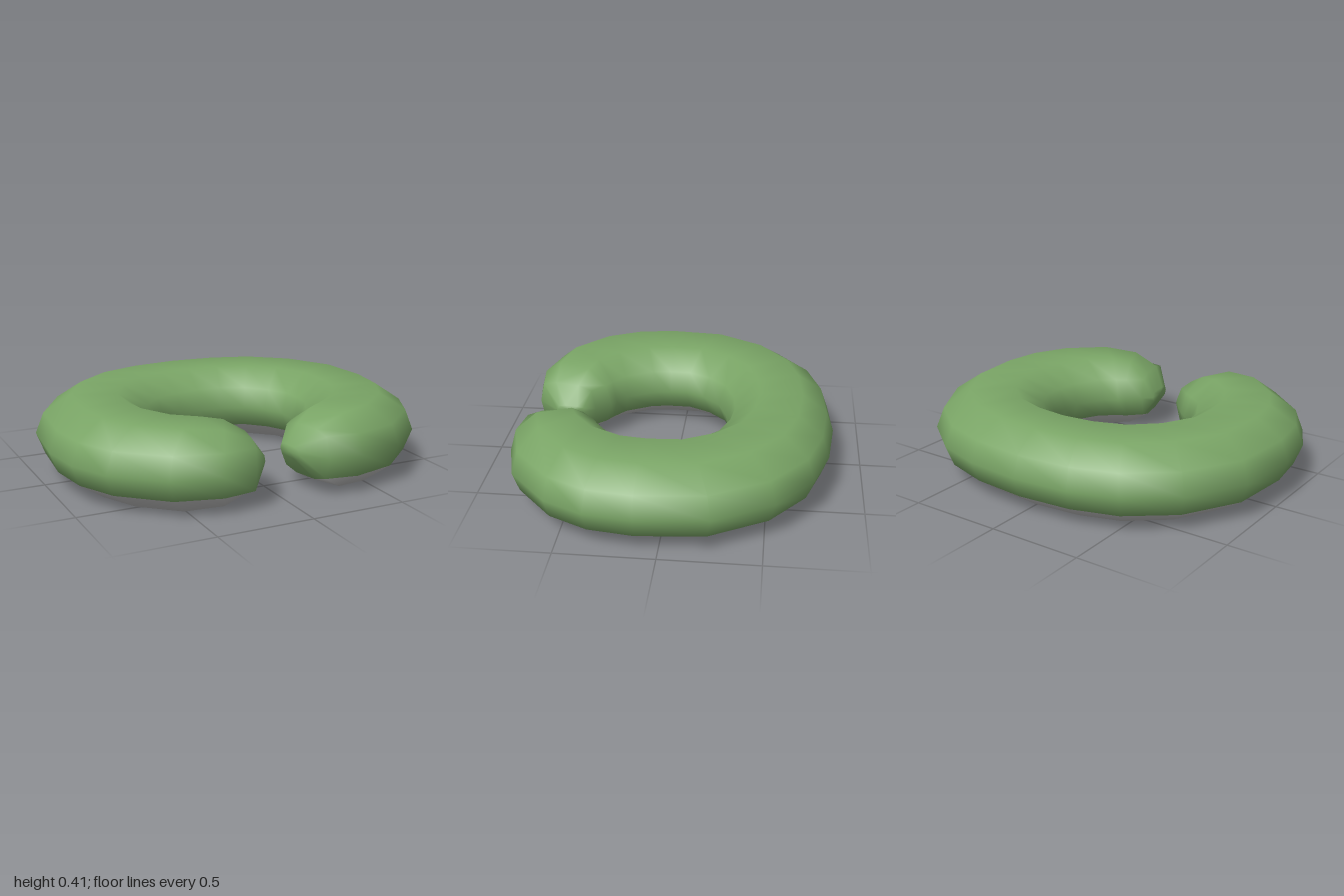
import * as THREE from 'three';

// Half of the ring, from the open end to the back:
// outer x, z, inner x, z, shoulder height, full height (both from mid-level)
const HALF = [
  [0.095, 0.69, 0.08, 0.525, 0.025, 0.03],
  [0.20, 0.805, 0.125, 0.475, 0.108, 0.13],
  [0.38, 0.835, 0.19, 0.40, 0.11, 0.19],
  [0.63, 0.77, 0.225, 0.372, 0.11, 0.205],
  [0.865, 0.56, 0.295, 0.32, 0.11, 0.205],
  [0.965, 0.355, 0.375, 0.175, 0.11, 0.205],
  [1.0, 0.11, 0.386, 0.08, 0.11, 0.205],
  [0.965, -0.25, 0.387, -0.01, 0.11, 0.205],
  [0.79, -0.55, 0.335, -0.115, 0.11, 0.205],
  [0.55, -0.735, 0.25, -0.205, 0.11, 0.205],
  [0.30, -0.813, 0.12, -0.255, 0.11, 0.205],
  [0, -0.84, 0, -0.27, 0.11, 0.205],
];
const MID_Y = 0.205;

// Cross-section: position across the tube, and height step (0 mid, 1 shoulder, 2 full)
const SECTION = [
  [1, 0], [0.86, 1], [0.4, 2], [-0.4, 2], [-0.86, 1],
  [-1, 0], [-0.86, -1], [-0.4, -2], [0.4, -2], [0.86, -1],
];

function createRingGeometry() {
  const mirrored = HALF.slice(0, -1).reverse()
    .map(([ox, oz, ix, iz, h1, h2]) => [-ox, oz, -ix, iz, h1, h2]);
  const rings = [...HALF, ...mirrored];
  const n = SECTION.length;
  const last = rings.length - 1;
  const positions = [];
  for (const [ox, oz, ix, iz, h1, h2] of rings) {
    for (const [t, step] of SECTION) {
      const k = (1 + t) / 2;
      const y = Math.sign(step) * [0, h1, h2][Math.abs(step)];
      positions.push(ix + (ox - ix) * k, MID_Y + y, iz + (oz - iz) * k);
    }
  }
  // Middle points of the two rounded ends
  const capA = positions.length / 3;
  positions.push(0.084, MID_Y, 0.61, -0.084, MID_Y, 0.61);

  const upper = [];
  const lower = [];
  for (let j = 0; j < n; j++) {
    const k = (j + 1) % n;
    for (let i = 0; i < last; i++) {
      const a = i * n + j, b = i * n + k, c = a + n, d = b + n;
      const underside = j >= 6 && j <= 8 && i > 0 && i < last - 1;
      (underside ? lower : upper).push(a, c, b, b, c, d);
    }
    upper.push(capA, j, k, capA + 1, last * n + k, last * n + j);
  }

  const geometry = new THREE.BufferGeometry();
  geometry.setAttribute('position', new THREE.Float32BufferAttribute(positions, 3));
  geometry.setIndex([...upper, ...lower]);
  geometry.addGroup(0, upper.length, 0);
  geometry.addGroup(upper.length, lower.length, 1);
  geometry.computeVertexNormals();
  return geometry;
}

export function createModel() {
  const green = new THREE.MeshStandardMaterial({ color: 0x7aa566 });
  green.name = 'green fabric';
  const grey = new THREE.MeshStandardMaterial({ color: 0xbababa });
  grey.name = 'grey underside';

  const group = new THREE.Group();
  group.name = 'neckPillow';
  const cushion = new THREE.Mesh(createRingGeometry(), [green, grey]);
  cushion.name = 'cushion';
  group.add(cushion);
  return group;
}
